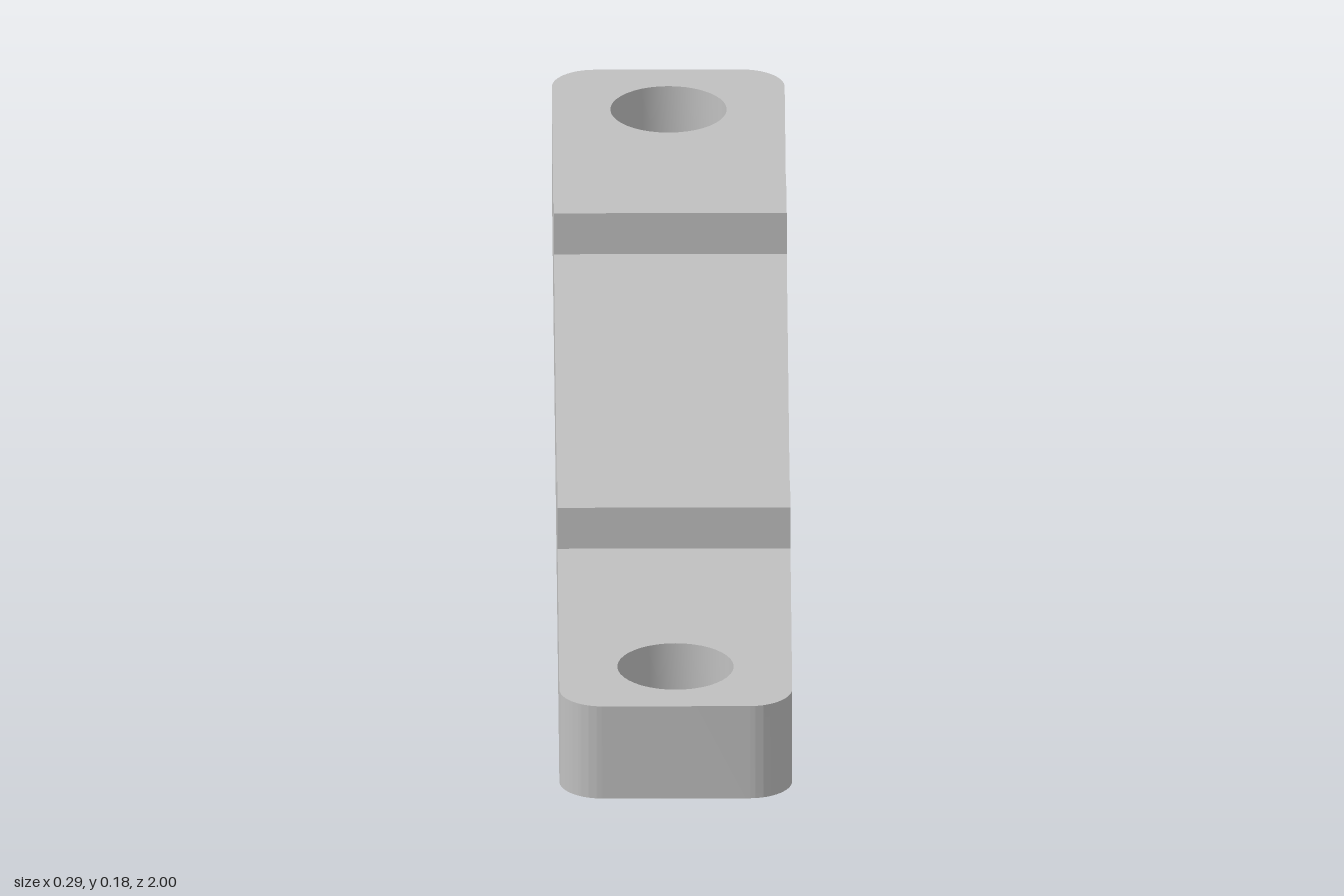
import * as THREE from 'three';
import { toCreasedNormals } from 'three/addons/utils/BufferGeometryUtils.js';

const HALF_W = 0.146, HALF_L = 1, BASE_H = 0.126, CORNER = 0.054;
const HOLE_R = 0.073, HOLE_Z = 0.875;
const RIB_Z = 0.4625, RIB_L = 0.084, RIB_H = 0.056;

// Rounded rectangle outline with a screw hole near each end
function barShape() {
  const s = new THREE.Shape();
  const x = HALF_W - CORNER, y = HALF_L - CORNER;
  s.absarc(x, y, CORNER, 0, Math.PI / 2);
  s.absarc(-x, y, CORNER, Math.PI / 2, Math.PI);
  s.absarc(-x, -y, CORNER, Math.PI, Math.PI * 1.5);
  s.absarc(x, -y, CORNER, Math.PI * 1.5, Math.PI * 2);
  for (const side of [-1, 1]) {
    s.holes.push(new THREE.Path().absarc(0, side * HOLE_Z, HOLE_R, 0, Math.PI * 2, true));
  }
  return s;
}

export function createModel() {
  const group = new THREE.Group();
  group.name = 'mountingBar';
  const grey = new THREE.MeshStandardMaterial({ color: 0xc0c0c0 });
  grey.name = 'grey';

  // Flat bar, extruded upwards with smooth corners and hole walls
  const geometry = new THREE.ExtrudeGeometry(barShape(), {
    depth: BASE_H, bevelEnabled: false, curveSegments: 20,
  });
  geometry.rotateX(-Math.PI / 2);
  const bar = new THREE.Mesh(toCreasedNormals(geometry, Math.PI / 6), grey);
  bar.name = 'bar';
  group.add(bar);

  // Two full-width ribs across the top
  for (const [name, side] of [['frontRib', 1], ['backRib', -1]]) {
    const rib = new THREE.Mesh(new THREE.BoxGeometry(HALF_W * 2, RIB_H, RIB_L), grey);
    rib.position.set(0, BASE_H + RIB_H / 2, side * RIB_Z);
    rib.name = name;
    group.add(rib);
  }
  return group;
}
